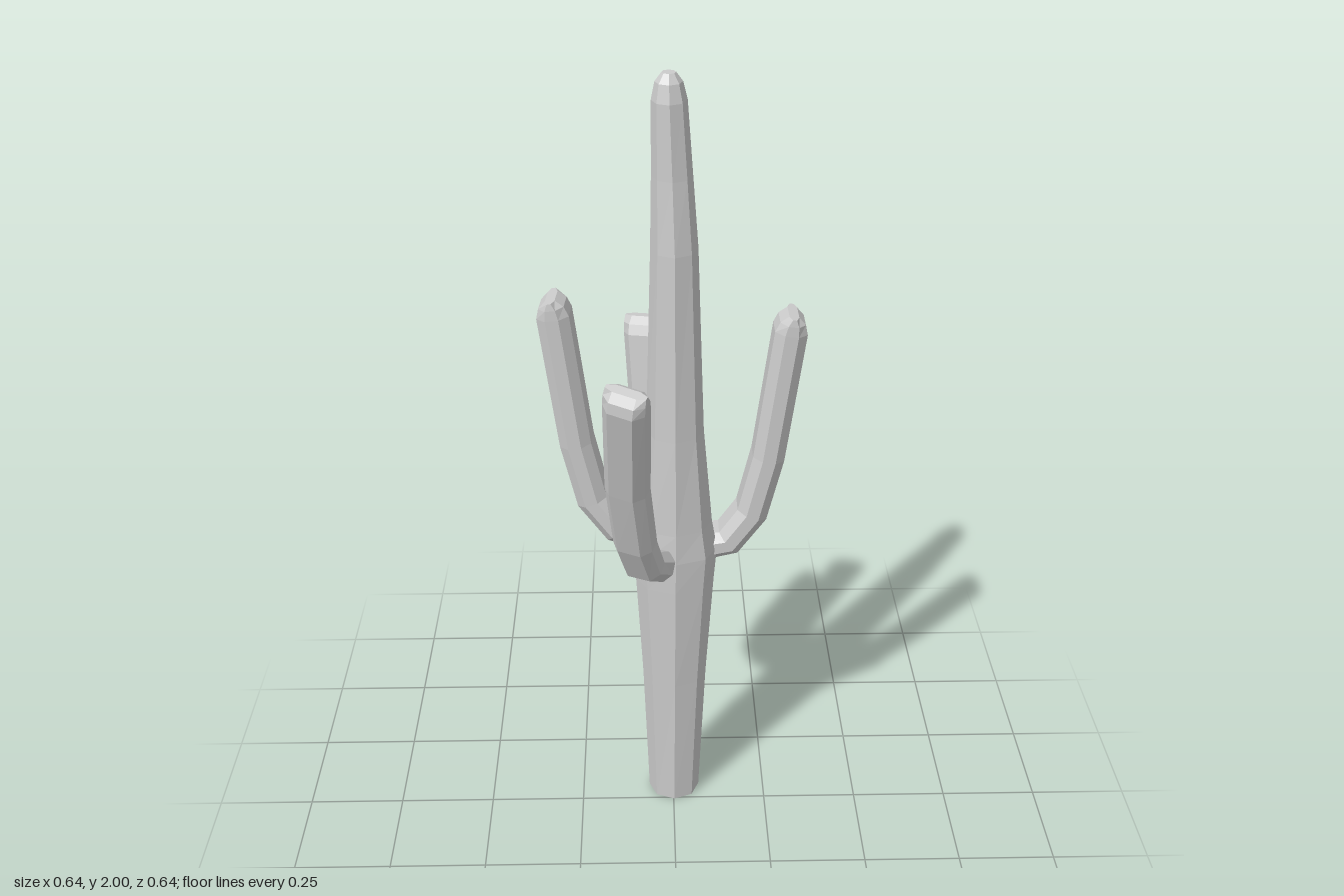
import * as THREE from 'three';

const V = (x, y, z) => new THREE.Vector3(x, y, z);
const material = new THREE.MeshStandardMaterial({ color: 0xcccccc, flatShading: true, side: THREE.DoubleSide });

// Skins a list of equal-sized rings and closes both ends with fans.
function loft(name, rings) {
  const n = rings[0].length;
  const pos = [];
  const tri = (...pts) => pts.forEach((p) => pos.push(p.x, p.y, p.z));
  const middle = (ring) => ring.reduce((s, p) => s.add(p), V(0, 0, 0)).divideScalar(n);
  const last = rings[rings.length - 1];
  const start = middle(rings[0]), end = middle(last);
  for (let j = 0; j < n; j++) {
    const k = (j + 1) % n;
    for (let i = 0; i < rings.length - 1; i++) {
      const a = rings[i][j], b = rings[i][k], c = rings[i + 1][k], d = rings[i + 1][j];
      tri(a, b, c);
      tri(a, c, d);
    }
    tri(start, rings[0][k], rings[0][j]);
    tri(end, last[j], last[k]);
  }
  const geometry = new THREE.BufferGeometry();
  geometry.setAttribute('position', new THREE.Float32BufferAttribute(pos, 3));
  geometry.computeVertexNormals();
  const mesh = new THREE.Mesh(geometry, material);
  mesh.name = name;
  return mesh;
}

// Eight-sided trunk; each row is height, centre x, x radius, z radius.
function trunk() {
  const rows = [
    [0, 0.002, 0.068, 0.064],
    [0.4, 0.003, 0.083, 0.075],
    [0.7, 0.004, 0.1, 0.083],
    [0.79, 0.005, 0.106, 0.084],
    [0.87, 0.005, 0.092, 0.08],
    [1.13, 0.004, 0.07, 0.072],
    [1.6, 0.002, 0.055, 0.063],
    [1.77, -0.003, 0.047, 0.049],
    [1.94, -0.009, 0.04, 0.044],
    [1.98, -0.01, 0.031, 0.034],
    [2, -0.01, 0.016, 0.018],
  ];
  return loft('trunk', rows.map(([y, cx, rx, rz]) => Array.from({ length: 8 }, (_, i) => {
    const a = (i * Math.PI) / 4;
    return V(cx + rx * Math.cos(a), y, -0.058 - rz * Math.sin(a));
  })));
}

// Flattened octagon: first value across the arm, second through its thickness.
const section = [
  [0.051, 0.016], [0.03, 0.039], [-0.03, 0.039], [-0.051, 0.016],
  [-0.051, -0.016], [-0.03, -0.039], [0.03, -0.039], [0.051, -0.016],
];

// Arm swept along a path, ending in a wedge-shaped tip.
function arm(name, side, points) {
  const path = points.map((p) => V(...p));
  const ring = (centre, tangent, width, thick) => {
    const u = side.clone().addScaledVector(tangent, -side.dot(tangent)).normalize();
    const v = tangent.clone().cross(u);
    return section.map(([a, b]) => centre.clone().addScaledVector(u, a * width).addScaledVector(v, b * thick));
  };
  const rings = path.map((p, i) => {
    const t = path[Math.min(i + 1, path.length - 1)].clone().sub(path[Math.max(i - 1, 0)]).normalize();
    return ring(p, t, 1, 1);
  });
  const end = path[path.length - 1];
  const dir = end.clone().sub(path[path.length - 2]).normalize();
  for (const [rise, width, thick] of [[0.025, 0.99, 0.78], [0.042, 0.95, 0.3]]) {
    rings.push(ring(end.clone().addScaledVector(dir, rise), dir, width, thick));
  }
  return loft(name, rings);
}

export function createModel() {
  const group = new THREE.Group();
  group.name = 'cactus';
  group.add(
    trunk(),
    arm('leftArm', V(0, 0, 1), [
      [0.075, 0.785, -0.096], [0.14, 0.797, -0.096], [0.198, 0.88, -0.096],
      [0.235, 1.04, -0.096], [0.278, 1.38, -0.096],
    ]),
    arm('rightArm', V(0.08, 0, -1).normalize(), [
      [-0.075, 0.825, -0.092], [-0.14, 0.838, -0.097], [-0.2, 0.92, -0.102],
      [-0.237, 1.08, -0.105], [-0.28, 1.42, -0.108],
    ]),
    arm('backArm', V(0.93, 0, 0.36).normalize(), [
      [0.001, 0.695, -0.115], [-0.012, 0.71, -0.16], [-0.032, 0.79, -0.208],
      [-0.046, 0.93, -0.242], [-0.066, 1.29, -0.282],
    ]),
    arm('frontArm', V(0.9, 0, 0.42).normalize(), [
      [-0.045, 0.79, 0.018], [-0.075, 0.825, 0.07], [-0.095, 0.92, 0.115],
      [-0.11, 1.11, 0.18], [-0.108, 1.37, 0.27],
    ]),
  );
  return group;
}
